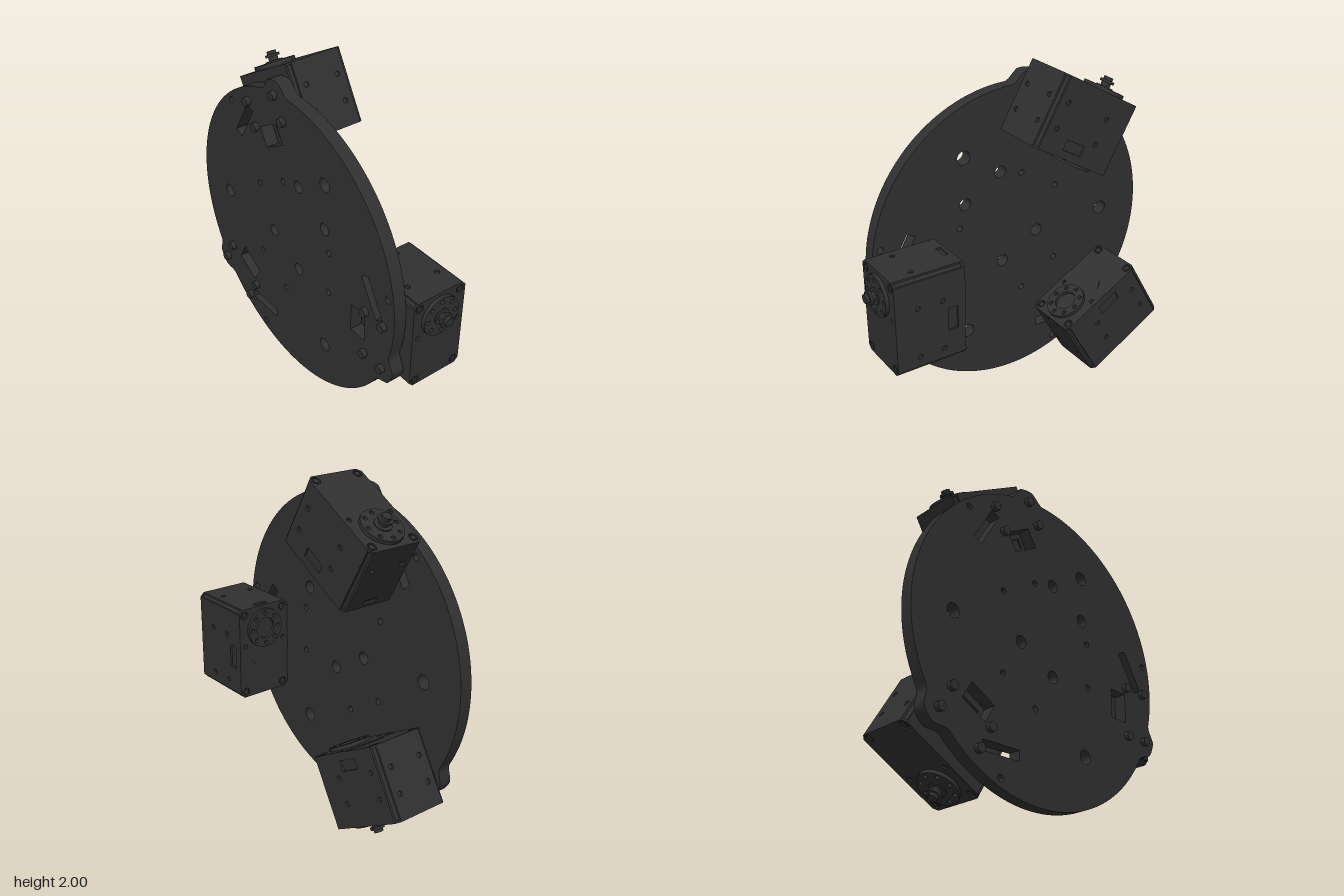
import * as THREE from 'three';
import { toCreasedNormals } from 'three/addons/utils/BufferGeometryUtils.js';

const dark = new THREE.MeshStandardMaterial({ color: 0x303030 });
const HW = 0.178, HH = 0.29, HD = 0.2125; // motor half sizes (x, y, z)
const T = 0.012; // motor panel thickness
const C = 0.025; // motor edge chamfer

function add(parent, name, geometry, pos = [0, 0, 0], rot = [0, 0, 0]) {
  const m = new THREE.Mesh(geometry, dark);
  m.name = name;
  m.position.set(...pos);
  m.rotation.set(...rot);
  parent.add(m);
  return m;
}

const poly = (pts) => new THREE.Shape(pts.map(([x, y]) => new THREE.Vector2(x, y)));
const rect = (cx, cy, w, h, a = 0) => poly([[-1, -1], [1, -1], [1, 1], [-1, 1]].map(([i, j]) => {
  const x = i * w / 2, y = j * h / 2;
  return [cx + x * Math.cos(a) - y * Math.sin(a), cy + x * Math.sin(a) + y * Math.cos(a)];
}));
const octagon = (w, h, c) => poly([[w - c, -h], [w, -h + c], [w, h - c], [w - c, h],
  [-w + c, h], [-w, h - c], [-w, -h + c], [-w + c, -h]]);
const circle = (x, y, r) => new THREE.Shape().absarc(x, y, r, 0, Math.PI * 2);
const grid = (xs, ys, r) => xs.flatMap((x) => ys.map((y) => circle(x, y, r)));
const ringOf = (n, radius, r) => Array.from({ length: n }, (_, i) => {
  const a = (i / n) * Math.PI * 2;
  return circle(radius * Math.cos(a), radius * Math.sin(a), r);
});

function extrude(shape, holes, depth) {
  shape.holes.push(...holes);
  const g = new THREE.ExtrudeGeometry(shape, { depth, bevelEnabled: false, curveSegments: 10 });
  return toCreasedNormals(g, 0.6);
}

// Round base plate with three small lugs, drawn with x as z and extruded toward -x
function makePlate(parent) {
  const pts = [];
  const N = 240;
  for (let i = 0; i < N; i++) {
    const deg = (i / N) * 360;
    const d = Math.abs((((deg + 22.5 + 60) % 120) + 120) % 120 - 60);
    const r = 0.926 + 0.069 * THREE.MathUtils.smoothstep(7.5 - d, 0, 5.5);
    const a = deg * Math.PI / 180;
    pts.push([r * Math.cos(a), r * Math.sin(a)]);
  }
  const holes = [[0.085, 0.423], [0.325, 0.279], [-0.169, -0.02], [0.075, -0.157]]
    .map(([x, y]) => circle(x, y, 0.037));
  for (let k = 0; k < 3; k++) {
    const a = k * Math.PI * 2 / 3;
    const turn = (x, y) => [x * Math.cos(a) - y * Math.sin(a), x * Math.sin(a) + y * Math.cos(a)];
    holes.push(
      circle(...turn(-0.653, 0), 0.042),
      circle(...turn(0.363, 0.138), 0.018),
      circle(...turn(0.363, -0.138), 0.018),
      circle(...turn(0.868, 0.148), 0.02),
      rect(...turn(0.627, -0.175), 0.12, 0.18, a), // cable window
      rect(...turn(0.739, 0.074), 0.255, 0.06, a + Math.PI * 2 / 3), // slanted slot
    );
  }
  add(parent, 'basePlate', extrude(poly(pts), holes, 0.078), [-0.13, 0, 0], [0, -Math.PI / 2, 0]);
}

// Motor: shaft along +z, body hanging below the shaft
function makeMotor() {
  const g = new THREE.Group();
  const Q = Math.PI / 2;
  add(g, 'motorCore', extrude(octagon(HW - T, HH - T, C - T), [], 2 * (HD - T)), [0, 0, -HD + T]);

  // Side panels with bolt holes and connector pockets
  const bolts = () => grid([-0.075, 0.075], [0.1, -0.203], 0.015);
  const sideSize = [2 * (HD - T), 2 * (HH - C)];
  add(g, 'leftPanel', extrude(rect(0, 0, ...sideSize), [...bolts(), rect(0.1375, -0.03, 0.06, 0.14)], T),
    [HW - T, 0, 0], [0, Q, 0]);
  add(g, 'rightPanel', extrude(rect(0, 0, ...sideSize), [...bolts(), rect(-0.1375, -0.03, 0.06, 0.14)], T),
    [-HW + T, 0, 0], [0, -Q, 0]);
  const endSize = [2 * (HW - C), 2 * (HD - T)];
  add(g, 'topPanel', extrude(rect(0, 0, ...endSize),
    [...grid([-0.103, 0.103], [-0.07], 0.015), rect(0, 0.18, 0.09, 0.03)], T), [0, HH - T, 0], [-Q, 0, 0]);
  add(g, 'bottomPanel', extrude(rect(0, 0, ...endSize), grid([-0.103, 0.103], [-0.075, 0.075], 0.015), T),
    [0, -HH + T, 0], [Q, 0, 0]);

  // Front and back covers with corner screws
  const coverHoles = () => [...grid([-0.14, 0.14], [0.25, -0.255], 0.026), ...grid([-0.14, 0.14], [0.05], 0.014)];
  add(g, 'frontCover', extrude(octagon(HW, HH, C), coverHoles(), T), [0, 0, HD - T]);
  add(g, 'backCover', extrude(octagon(HW, HH, C), coverHoles(), T), [0, 0, -HD + T], [0, Math.PI, 0]);
  add(g, 'backCoverStep', extrude(poly([[-HW, -0.04], [-0.1, -0.04], [-0.065, -0.085], [0.065, -0.085],
    [0.1, -0.04], [HW, -0.04], [HW, HH - C], [HW - C, HH], [C - HW, HH], [-HW, HH - C]]),
  [...grid([-0.14, 0.14], [0.25], 0.026), ...grid([-0.14, 0.14], [0.05], 0.014)], 0.005),
  [0, 0, -HD], [0, Math.PI, 0]);
  const screw = new THREE.CylinderGeometry(0.017, 0.017, 0.012, 12);
  for (const x of [-0.14, 0.14]) for (const y of [0.25, -0.255]) for (const s of [-1, 1]) {
    add(g, 'coverScrew', screw, [x, y, s * (HD - 0.007)], [Q, 0, 0]);
  }

  // Output horn with stepped hub, and idler ring on the back
  const shaftY = 0.147;
  add(g, 'outputHorn', extrude(circle(0, 0, 0.122), ringOf(8, 0.095, 0.013), 0.022), [0, shaftY, HD]);
  const hub = [[0, 0], [0.05, 0], [0.05, 0.008], [0.028, 0.008], [0.028, 0.03], [0.042, 0.03],
    [0.042, 0.045], [0.027, 0.045], [0.027, 0.064], [0, 0.064]].map((p) => new THREE.Vector2(...p));
  add(g, 'hornHub', toCreasedNormals(new THREE.LatheGeometry(hub, 24), 0.6), [0, shaftY, HD + 0.021], [Q, 0, 0]);
  add(g, 'idlerRing', extrude(circle(0, 0, 0.122), [circle(0, 0, 0.065), ...ringOf(8, 0.095, 0.013)], 0.025),
    [0, shaftY, -HD], [0, Math.PI, 0]);

  // Mounting bolts through the base plate
  const bolt = new THREE.CylinderGeometry(0.027, 0.027, 0.12, 16);
  for (const z of [-0.075, 0.075]) for (const y of [0.1, -0.203]) {
    add(g, 'mountingBolt', bolt, [-0.23, y, z], [0, 0, Q]);
  }
  return g;
}

export function createModel() {
  const model = new THREE.Group();
  model.name = 'threeMotorBase';
  const assembly = new THREE.Group();
  assembly.name = 'assembly';
  assembly.position.set(0, 0.937, -0.065);
  model.add(assembly);

  makePlate(assembly);

  // Three motors spaced evenly about the plate axis
  for (let k = 0; k < 3; k++) {
    const arm = new THREE.Group();
    arm.name = 'motorMount' + (k + 1);
    arm.rotation.x = -k * Math.PI * 2 / 3;
    const motor = makeMotor();
    motor.name = 'motor';
    motor.position.set(0.053, -0.147, 0.7675);
    arm.add(motor);
    assembly.add(arm);
  }
  return model;
}
